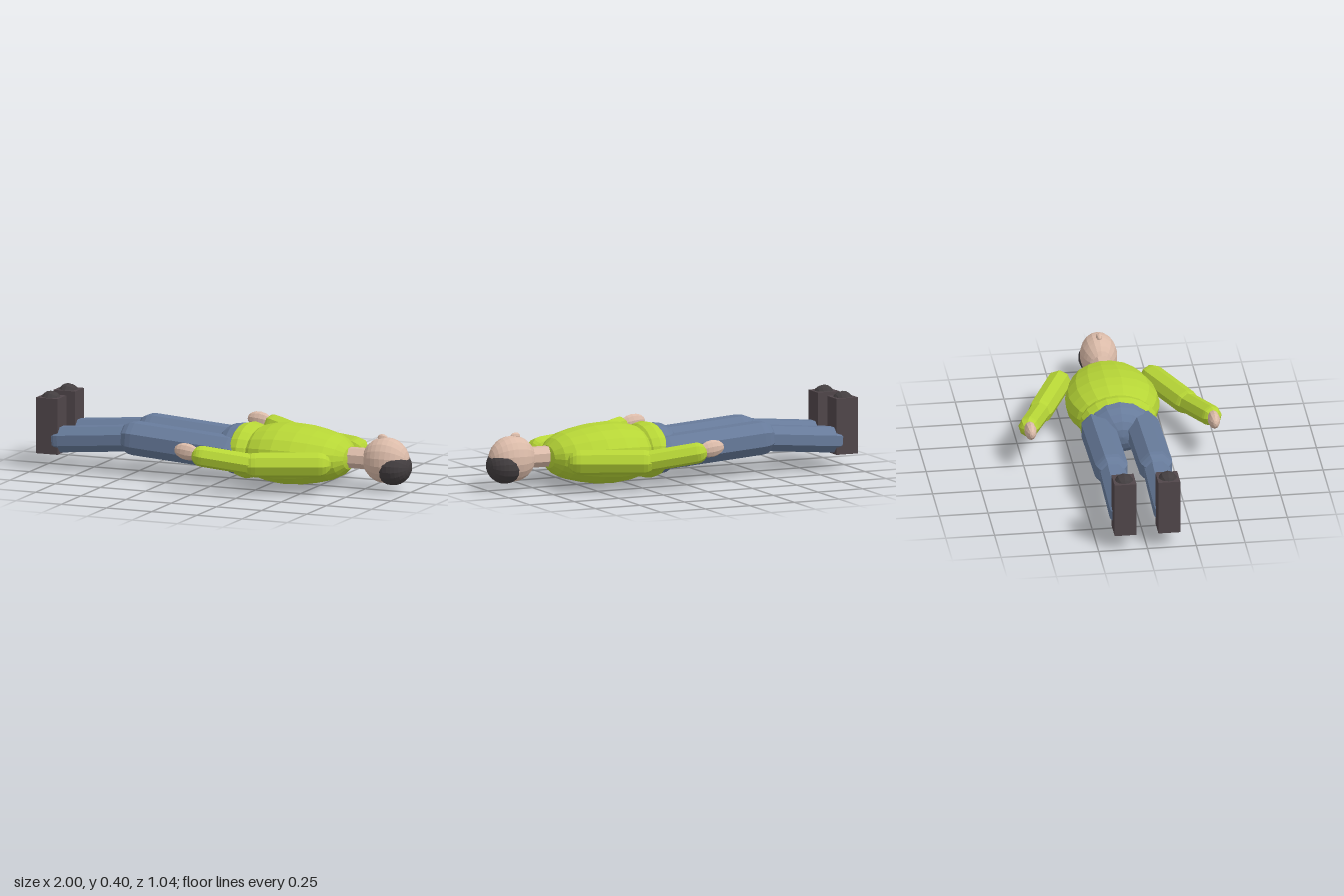
import * as THREE from 'three';

const paint = (name, color) => {
  const m = new THREE.MeshStandardMaterial({ color, flatShading: true });
  m.name = name;
  return m;
};

export function createModel() {
  const shirt = paint('lime shirt', 0xb6d536);
  const skin = paint('skin', 0xdbbba9);
  const denim = paint('blue denim', 0x677b9b);
  const leather = paint('dark shoe', 0x50464a);
  const hairMat = paint('dark hair', 0x433e40);

  const model = new THREE.Group();
  model.name = 'lyingFigure';

  const add = (name, geometry, material, parent = model) => {
    const mesh = new THREE.Mesh(geometry, material);
    mesh.name = name;
    parent.add(mesh);
    return mesh;
  };

  // Faceted ellipsoid with its poles along the body (x)
  const ellipsoid = (name, pos, radii, material, parent, w = 14, h = 10) => {
    const g = new THREE.SphereGeometry(1, w, h).rotateZ(-Math.PI / 2);
    g.scale(...radii);
    const mesh = add(name, g, material, parent);
    mesh.position.set(...pos);
    return mesh;
  };

  // Eight-sided limb with round ends, running between two joints
  const limb = (name, from, to, radius, material, parent) => {
    const a = new THREE.Vector3(...from), b = new THREE.Vector3(...to);
    const dir = b.clone().sub(a);
    const g = new THREE.CapsuleGeometry(radius, dir.length(), 5, 8).rotateY(Math.PI / 8);
    const mesh = add(name, g, material, parent);
    mesh.position.copy(a).add(b).multiplyScalar(0.5);
    mesh.quaternion.setFromUnitVectors(new THREE.Vector3(0, 1, 0), dir.normalize());
    return mesh;
  };

  // Chest: revolved profile (radius, distance along x), flattened front to back
  const profile = [
    [0, 0.11], [0.11, 0.12], [0.165, 0.145], [0.203, 0.185], [0.228, 0.25], [0.24, 0.32],
    [0.232, 0.42], [0.211, 0.5], [0.18, 0.58], [0.142, 0.63], [0.09, 0.665], [0, 0.683],
  ].map(([r, x]) => new THREE.Vector2(r, x));
  const chest = add('chest', new THREE.LatheGeometry(profile, 18).rotateZ(-Math.PI / 2).scale(1, 0.65, 1), shirt);
  chest.position.y = 0.157;

  // Shirt hem around the waist, and hips
  const hem = add('shirtHem', new THREE.TorusGeometry(0.132, 0.068, 10, 20).rotateY(Math.PI / 2).scale(1, 0.72, 1), shirt);
  hem.position.set(0.115, 0.157, 0);
  ellipsoid('hips', [0.07, 0.16, 0], [0.13, 0.134, 0.165], denim);

  // Neck and head, face upward
  const neck = add('neck', new THREE.CylinderGeometry(0.055, 0.055, 0.16, 8).rotateY(Math.PI / 8).rotateZ(-Math.PI / 2), skin);
  neck.position.set(0.72, 0.16, 0);
  const head = new THREE.Group();
  head.name = 'head';
  model.add(head);
  ellipsoid('face', [0.865, 0.16, 0], [0.125, 0.119, 0.095], skin, head, 18, 14);
  ellipsoid('hair', [0.905, 0.129, 0], [0.095, 0.094, 0.098], hairMat, head, 18, 14);
  ellipsoid('nose', [0.845, 0.274, 0], [0.027, 0.02, 0.016], skin, head, 8, 6);

  // Arms and legs on both sides
  for (const s of [1, -1]) {
    const arm = new THREE.Group();
    arm.name = s > 0 ? 'frontArm' : 'backArm';
    model.add(arm);
    const elbow = [0.3, 0.157, s * 0.372];
    limb('upperArm', [0.595, 0.157, s * 0.241], elbow, 0.064, shirt, arm);
    limb('forearm', elbow, [0.047, 0.2, s * 0.466], 0.054, shirt, arm);
    const hand = ellipsoid('hand', [-0.034, 0.218, s * 0.47], [0.07, 0.044, 0.031], skin, arm, 10, 8);
    hand.rotation.z = -0.12;

    const leg = new THREE.Group();
    leg.name = s > 0 ? 'frontLeg' : 'backLeg';
    model.add(leg);
    const knee = [-0.47, 0.194, s * 0.114];
    limb('thigh', [0.05, 0.157, s * 0.114], knee, 0.09, denim, leg);
    limb('shin', knee, [-0.88, 0.158, s * 0.113], 0.07, denim, leg);
    const shoe = add('shoe', new THREE.BoxGeometry(0.12, 0.288, 0.112), leather, leg);
    shoe.position.set(-0.94, 0.229, s * 0.112);
    ellipsoid('toeCap', [-0.94, 0.351, s * 0.112], [0.054, 0.052, 0.054], hairMat, leg, 10, 8);
  }
  return model;
}
